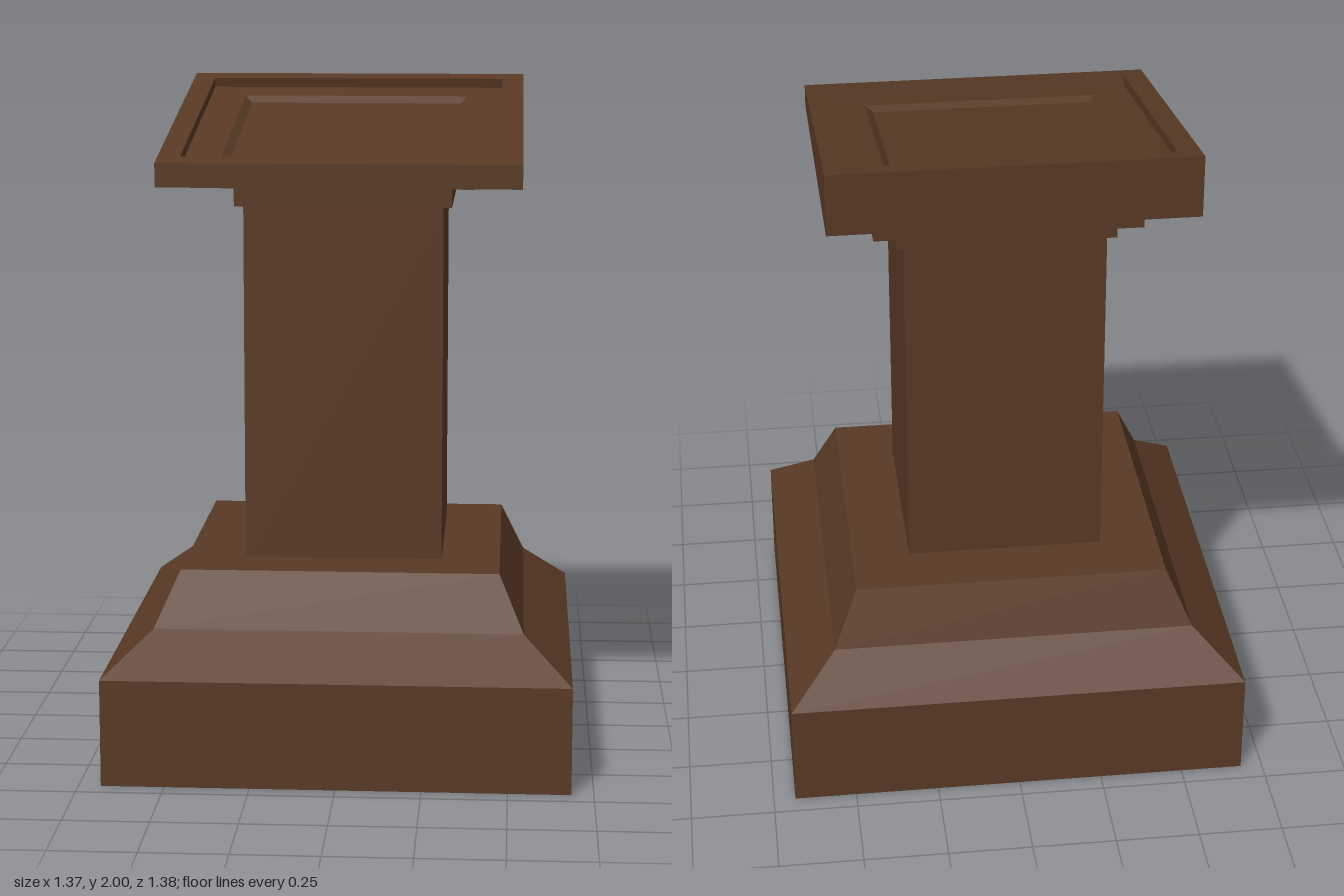
import * as THREE from 'three';

// Rectangular ring of four corners; y may be a number or a function of z
function ring(x, zFront, zBack, y) {
  const h = typeof y === 'function' ? y : () => y;
  return [[-x, zFront], [x, zFront], [x, zBack], [-x, zBack]]
    .map(([px, pz]) => new THREE.Vector3(px, h(pz), pz));
}

// Flat-faced skin through a stack of rings, with optional end caps
function loft(rings, capStart = true, capEnd = true) {
  const points = [];
  const quad = (a, b, c, d) => points.push(a, b, c, a, c, d);
  for (let r = 0; r < rings.length - 1; r++) {
    const a = rings[r], b = rings[r + 1];
    for (let i = 0; i < 4; i++) {
      const j = (i + 1) % 4;
      quad(a[i], a[j], b[j], b[i]);
    }
  }
  if (capStart) quad(...[...rings[0]].reverse());
  if (capEnd) quad(...rings[rings.length - 1]);
  const geometry = new THREE.BufferGeometry().setFromPoints(points);
  geometry.computeVertexNormals();
  return geometry;
}

export function createModel() {
  const group = new THREE.Group();
  group.name = 'lectern';
  const wood = new THREE.MeshStandardMaterial({ color: 0x583925 });
  wood.name = 'dark wood';

  const add = (name, geometry) => {
    const mesh = new THREE.Mesh(geometry, wood);
    mesh.name = name;
    group.add(mesh);
  };
  const block = (name, x, z, y0, y1) =>
    add(name, loft([ring(x, z, -z, y0), ring(x, z, -z, y1)]));

  // Stepped foot with two slopes
  add('base', loft([
    [0.685, 0.692, 0], [0.685, 0.692, 0.318], [0.543, 0.549, 0.438], [0.47, 0.476, 0.6],
  ].map(([x, z, y]) => ring(x, z, -z, y))));

  // Shaft and capital mouldings
  block('column', 0.295, 0.3, 0.6, 1.66);
  block('lowerMoulding', 0.32, 0.327, 1.66, 1.72);
  block('upperMoulding', 0.387, 0.39, 1.72, 1.78);

  // Sloping desk with a raised rim
  const top = (drop) => (z) => 1.9025 - 0.184 * z - drop;
  const underside = (z) => 1.775 - 0.0755 * z;
  const floor = 0.03;
  add('deskFrame', loft([
    ring(0.526, 0.53, -0.53, underside),
    ring(0.526, 0.53, -0.53, top(0)),
    ring(0.46, 0.46, -0.466, top(0)),
    ring(0.46, 0.454, -0.472, top(floor)),
    ring(0.352, 0.346, -0.363, top(floor)),
  ], true, false));

  // Sunken reading panel with bevelled edges
  add('readingPanel', loft([
    ring(0.352, 0.346, -0.363, top(floor)),
    ring(0.33, 0.32, -0.341, top(floor + 0.017)),
  ], false, true));

  return group;
}
